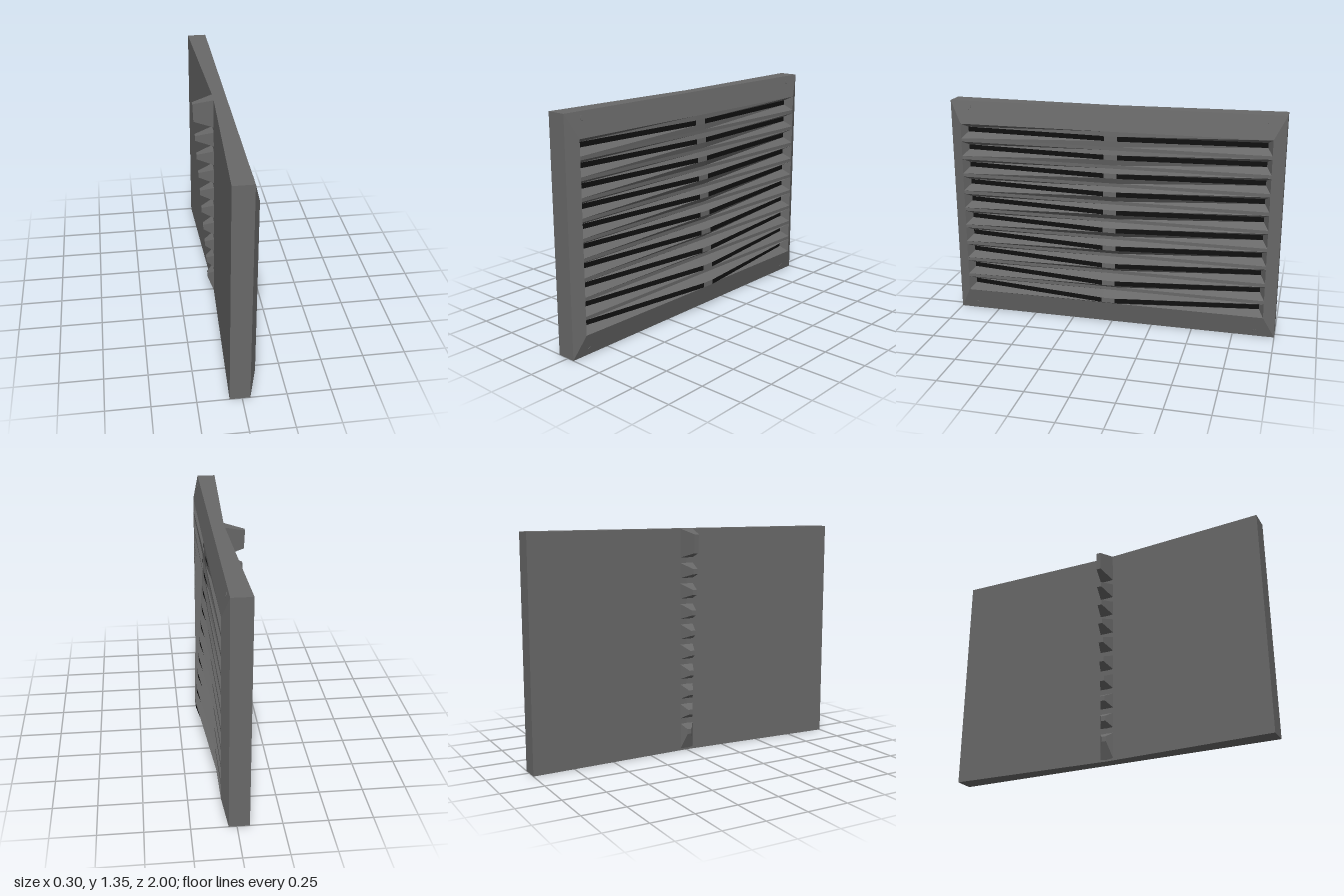
import * as THREE from 'three';

// Collects quads given as four [x, y, z] corners, counter-clockwise from outside.
function builder() {
  const pos = [];
  const quad = (a, b, c, d) => pos.push(...a, ...b, ...c, ...a, ...c, ...d);
  // Walls between two closed rings of equal length
  const loft = (A, B) => A.forEach((p, i) => {
    const j = (i + 1) % A.length;
    quad(p, A[j], B[j], B[i]);
  });
  const mesh = (name, material) => {
    const g = new THREE.BufferGeometry();
    g.setAttribute('position', new THREE.Float32BufferAttribute(pos, 3));
    g.computeVertexNormals();
    const m = new THREE.Mesh(g, material);
    m.name = name;
    return m;
  };
  return { quad, loft, mesh };
}

export function createModel() {
  const group = new THREE.Group();
  group.name = 'louvredVent';
  const grey = new THREE.MeshStandardMaterial({ color: 0x686868 });
  grey.name = 'grey metal';
  const black = new THREE.MeshStandardMaterial({ color: 0x101010 });
  black.name = 'black slot';

  const H = 1.35, FACE = 0.08, EDGE = 0.045;
  const ROWS = 10, Y0 = 0.18, PITCH = 0.11, HALF = 0.045;
  const faceLow = Y0 - HALF, faceHigh = Y0 + (ROWS - 1) * PITCH + HALF;

  // Frame: rim, bevel and a shallow V-shaped back
  const frame = builder();
  const ring = (xEnd, xMid, z, y0, y1) => [
    [xEnd, y0, z], [xMid, y0, 0], [xEnd, y0, -z],
    [xEnd, y1, -z], [xMid, y1, 0], [xEnd, y1, z],
  ];
  const back = ring(-0.07, -0.03, 1, 0, H);
  const rim = ring(EDGE, EDGE, 1, 0, H);
  const inner = ring(FACE, FACE, 0.93, faceLow, faceHigh);
  frame.loft(back, rim);
  frame.loft(rim, inner);
  frame.quad(back[1], back[0], back[5], back[4]);
  frame.quad(back[2], back[1], back[4], back[3]);
  group.add(frame.mesh('frame', grey));

  // Louvres: each slot floor climbs from a recess at the ends to a central tip
  const louvres = builder(), floors = builder();
  const slotRing = (zEnd, xEnd, xMid, y0, y1) => [
    [xEnd, y0, zEnd], [xMid, y0, 0.04], [xMid, y0, -0.04], [xEnd, y0, -zEnd],
    [xEnd, y1, -zEnd], [xMid, y1, -0.04], [xMid, y1, 0.04], [xEnd, y1, zEnd],
  ];
  for (let i = 0; i < ROWS; i++) {
    const y = Y0 + i * PITCH;
    const tip = 0.148 - 0.0074 * i;
    const open = slotRing(0.93, FACE, FACE, y - HALF, y + HALF);
    const f = slotRing(0.9, 0.03, tip, y - 0.011, y + 0.018);
    louvres.loft(open, f);
    louvres.quad(f[1], f[2], f[5], f[6]);
    floors.quad(f[0], f[1], f[6], f[7]);
    floors.quad(f[2], f[3], f[4], f[5]);
    // Flat land up to the next slot
    if (i < ROWS - 1) {
      const a = y + HALF, b = y + PITCH - HALF;
      louvres.quad([FACE, a, 0.93], [FACE, a, -0.93], [FACE, b, -0.93], [FACE, b, 0.93]);
    }
  }
  group.add(louvres.mesh('louvres', grey), floors.mesh('slotFloors', black));

  // Back teeth: tapered lugs along the crease, longer towards the top
  const teeth = builder();
  const tooth = (base0, base1, tip0, tip1, xLow, xHigh) => {
    const r = (xa, xb, z, a, b) => [[xa, a, -z], [xa, a, z], [xb, b, z], [xb, b, -z]];
    const tip = r(xLow, xHigh, 0.014, tip0, tip1);
    teeth.loft(r(-0.03, -0.03, 0.042, base0, base1), tip);
    teeth.quad(...tip);
  };
  for (let i = 0; i < 9; i++) {
    const y = 0.123 + i * 0.1225;
    const x = -0.069 - i * 0.0086;
    tooth(i === 0 ? 0.01 : y - 0.045, y + 0.045, y - 0.015, y + 0.015, x, x);
  }
  tooth(1.18, 1.35, 1.21, 1.32, -0.145, -0.15);
  group.add(teeth.mesh('backTeeth', grey));

  // Screw heads flush with the bevel in each corner
  const slope = (FACE - EDGE) / faceLow;
  for (const up of [-1, 1]) for (const side of [-1, 1]) {
    const screw = new THREE.Mesh(new THREE.CylinderGeometry(0.015, 0.015, 0.004, 12), grey);
    screw.name = 'screw';
    screw.position.set(EDGE + 0.035 * slope, H / 2 + up * (H / 2 - 0.035), side * 0.885);
    screw.rotation.z = -Math.PI / 2 + up * Math.atan(slope);
    group.add(screw);
  }
  return group;
}
